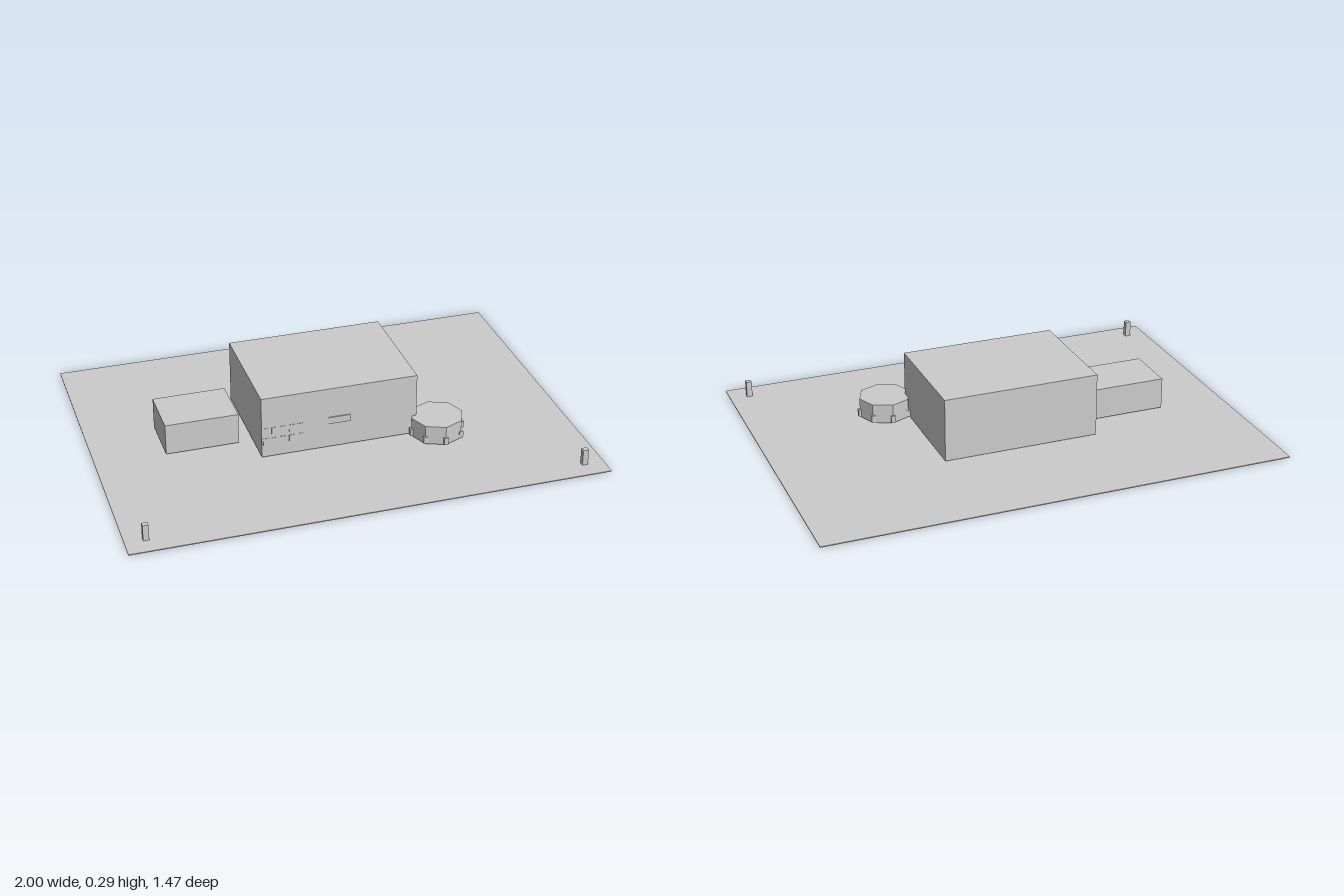
import * as THREE from 'three';

export function createModel() {
  const model = new THREE.Group();
  const grey = new THREE.MeshStandardMaterial({ color: 0xcccccc });
  grey.name = 'light grey';

  function add(name, geometry, x, y, z, parent = model) {
    const mesh = new THREE.Mesh(geometry, grey);
    mesh.name = name;
    mesh.position.set(x, y, z);
    parent.add(mesh);
    return mesh;
  }

  // Box given by its limits on each axis
  function block(name, x0, x1, y0, y1, z0, z1, parent) {
    return add(name, new THREE.BoxGeometry(x1 - x0, y1 - y0, z1 - z0),
      (x0 + x1) / 2, (y0 + y1) / 2, (z0 + z1) / 2, parent);
  }

  // Site and buildings
  block('ground', -1, 1, 0, 0.004, -0.735, 0.735);
  block('mainBuilding', -0.335, 0.335, 0.015, 0.288, -0.275, 0.23);
  block('sideBuilding', -0.705, -0.395, 0.015, 0.15, -0.14, 0.09);

  // Front windows and sign
  const windows = new THREE.Group();
  windows.name = 'windows';
  model.add(windows);
  for (const y of [0.086, 0.134]) {
    for (let i = 0; i < 5; i++) {
      const x = -0.318 + i * 0.037;
      block('window', x - 0.011, x + 0.011, y - 0.015, y + 0.015, 0.229, 0.232, windows);
    }
  }
  block('sign', -0.05, 0.045, 0.125, 0.155, 0.229, 0.235);

  // Octagonal pavilion with a small post at each corner
  const pavilion = new THREE.Group();
  pavilion.name = 'pavilion';
  pavilion.position.set(0.42, 0, 0.25);
  model.add(pavilion);
  const drum = new THREE.CylinderGeometry(0.112, 0.112, 0.083, 8).toNonIndexed();
  drum.computeVertexNormals();
  add('drum', drum, 0, 0.0565, 0, pavilion);
  for (let i = 0; i < 8; i++) {
    const a = i * Math.PI / 4;
    add('cornerPost', new THREE.BoxGeometry(0.018, 0.03, 0.018),
      Math.sin(a) * 0.11, 0.034, Math.cos(a) * 0.11, pavilion);
  }

  // Gate posts at the front corners
  for (const side of [-1, 1]) {
    const x = side * 0.915;
    block('gatePost', x - 0.012, x + 0.012, 0.003, 0.073, 0.64, 0.662);
  }
  return model;
}
